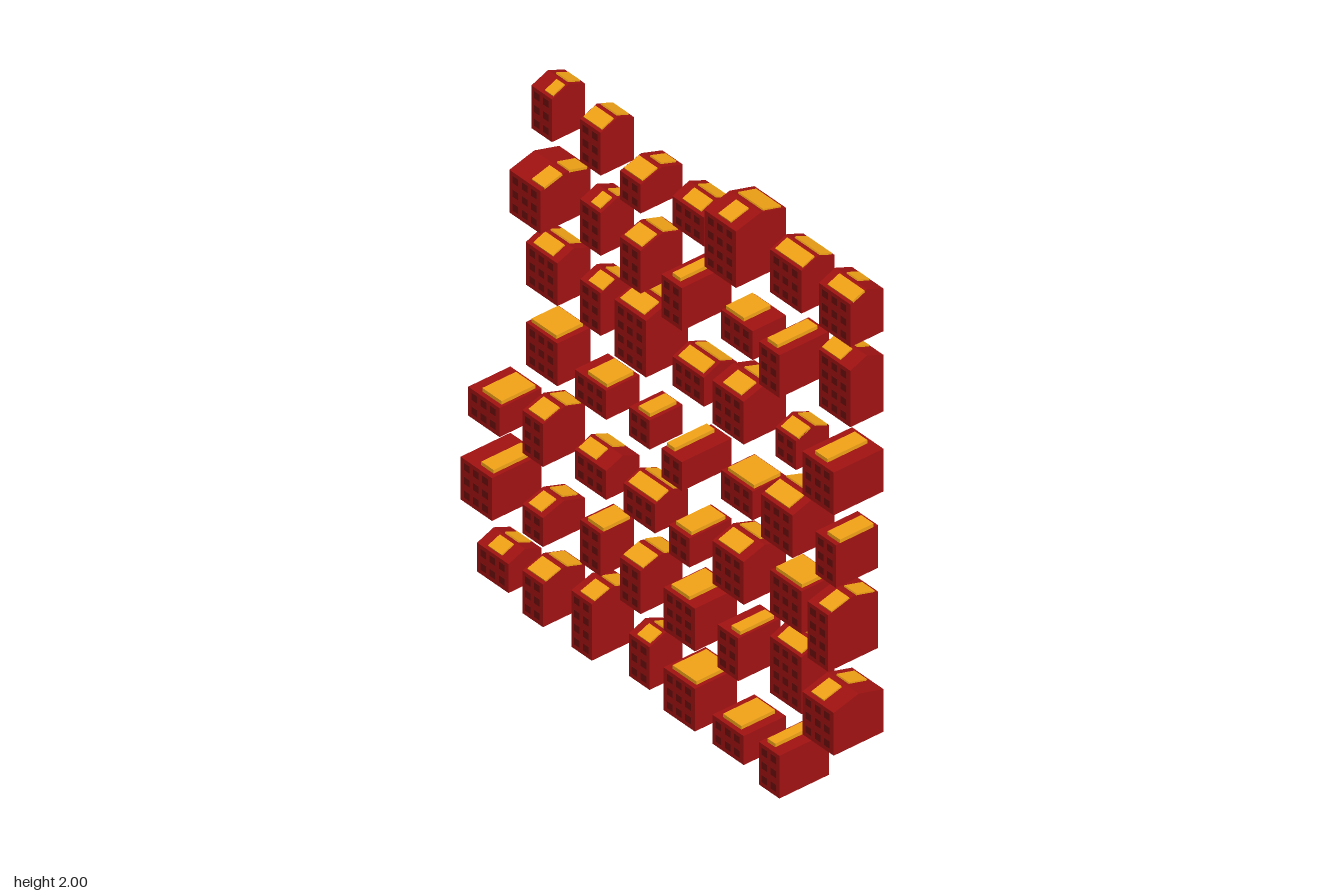
import * as THREE from 'three';

const mat = (color) => new THREE.MeshStandardMaterial({ color, flatShading: true });
const brick = mat(0xa31212), glass = mat(0x6e0c0c), panelMat = mat(0xf5a517);

const COL = 0.2285, ROW = 0.294, BACK = -0.0975, RISE = 0.027;
const WIDTH = { n: 0.096, w: 0.147 };      // narrow, wide
const DEPTH = { s: 0.13, m: 0.165, l: 0.195 }; // short, medium, long

// kind: width letter, depth letter, roof letter (g gable, f flat), floors
// then panel offset and width in front, optionally also at the back
const rows = [];
rows.push([0, ['wsg2', 0, .064], ['nmg3', .005, .085], ['nmg4', .014, .064], ['nsg3', .01, .058],
  ['wmf3', .005, .111], ['wmf2', 0, .085], ['nlf3', -.013, .037]]);
rows.push([0, ['wlf3', .029, .058], ['nmg2', -.003, .058], ['nsf3', .009, .074], ['nmg3', 0, .09],
  ['wmf3', -.014, .085], ['nmf3', .017, .042], ['wsg4', .008, .111], ['wlg3', -.018, .058]]);
rows.push([0, ['wmf2', .018, .09], ['nmg3', .005, .074], ['wsg2', -.025, .08], ['wsg2', .005, .132],
  ['nmf2', .002, .074], ['wmg3', -.01, .095], ['wsf3', 0, .122], ['nlg4', .018, .058]]);
rows.push([1, ['wsf3', -.005, .116], ['wsf2', .017, .09], ['nsf2', .008, .053], ['nlf2', -.027, .037],
  ['wsf2', .004, .122], ['wmg3', -.013, .111], ['nmf3', .018, .058]]);
rows.push([1, ['wsg3', -.003, .09], ['nsg3', .014, .064], ['wmg4', -.005, .111], ['wsg2', .002, .116],
  ['wmg3', .006, .085], ['nsg2', .008, .08], ['wlf3', -.008, .058]]);
rows.push([1, ['wlg3', .045, .058], ['nsg3', .014, .042], ['nmg3', 0, .08], ['nlf3', 0, .037],
  ['wsf2', -.025, .085], ['nlf3', -.008, .048], ['wsg4', -.026, .085]]);
rows.push([1, ['nsg3', .024, .037, .006, .056], ['nsg3', 0, .085, -.004, .074], ['nmg2', 0, .085, .005, .051],
  ['wsg2', .007, .085, 0, .085], ['wlg4', .004, .058, .008, .117], ['wsg3', .005, .127, .012, .117],
  ['wsg3', .016, .116, -.007, .051]]);

function box(name, w, h, d, x, y, z, material) {
  const m = new THREE.Mesh(new THREE.BoxGeometry(w, h, d), material);
  m.name = name;
  m.position.set(x, y, z);
  return m;
}

function house([kind, px, pw, bx = px, bw = pw]) {
  const g = new THREE.Group();
  const w = WIDTH[kind[0]], d = DEPTH[kind[1]], gable = kind[2] === 'g', floors = +kind[3];
  const h = 0.005 + 0.0505 * floors, zc = BACK + d / 2, half = d / 2;

  // walls and roof as one side profile, extruded across the width
  const side = new THREE.Shape();
  side.moveTo(-half, 0);
  side.lineTo(half, 0);
  side.lineTo(half, h);
  if (gable) side.lineTo(0, h + RISE);
  side.lineTo(-half, h);
  side.closePath();
  const geo = new THREE.ExtrudeGeometry(side, { depth: w, bevelEnabled: false });
  geo.rotateY(-Math.PI / 2).translate(w / 2, 0, zc);
  const body = new THREE.Mesh(geo, brick);
  body.name = 'walls';
  g.add(body);

  // roof panels: one per slope, or one slab on a flat roof
  if (gable) {
    const a = Math.atan2(RISE, half), len = Math.hypot(RISE, half) * 0.72;
    for (const [s, x, pwid] of [[1, px, pw], [-1, bx, bw]]) {
      const p = box('roofPanel', pwid, 0.009, len, x, h + RISE / 2 + 0.001, zc + s * half / 2, panelMat);
      p.rotation.x = s * a;
      g.add(p);
    }
  } else {
    g.add(box('roofPanel', pw, 0.014, d * 0.8, px, h + 0.006, zc, panelMat));
  }

  // windows on the front, one row per floor
  const n = kind[0] === 'w' ? 3 : 2;
  for (let f = 0; f < floors; f++)
    for (let i = 0; i < n; i++)
      g.add(box('window', 0.026, 0.026, 0.003, (i - (n - 1) / 2) * 0.043, 0.03 + f * 0.0505, BACK + d, glass));
  return g;
}

export function createModel() {
  const model = new THREE.Group();
  model.name = 'houseGrid';
  rows.forEach(([first, ...houses], r) => houses.forEach((spec, i) => {
    const g = house(spec);
    g.name = `house${r + 1}_${first + i + 1}`;
    g.position.set((first + i - 3.5) * COL, r * ROW, 0);
    model.add(g);
  }));
  return model;
}
